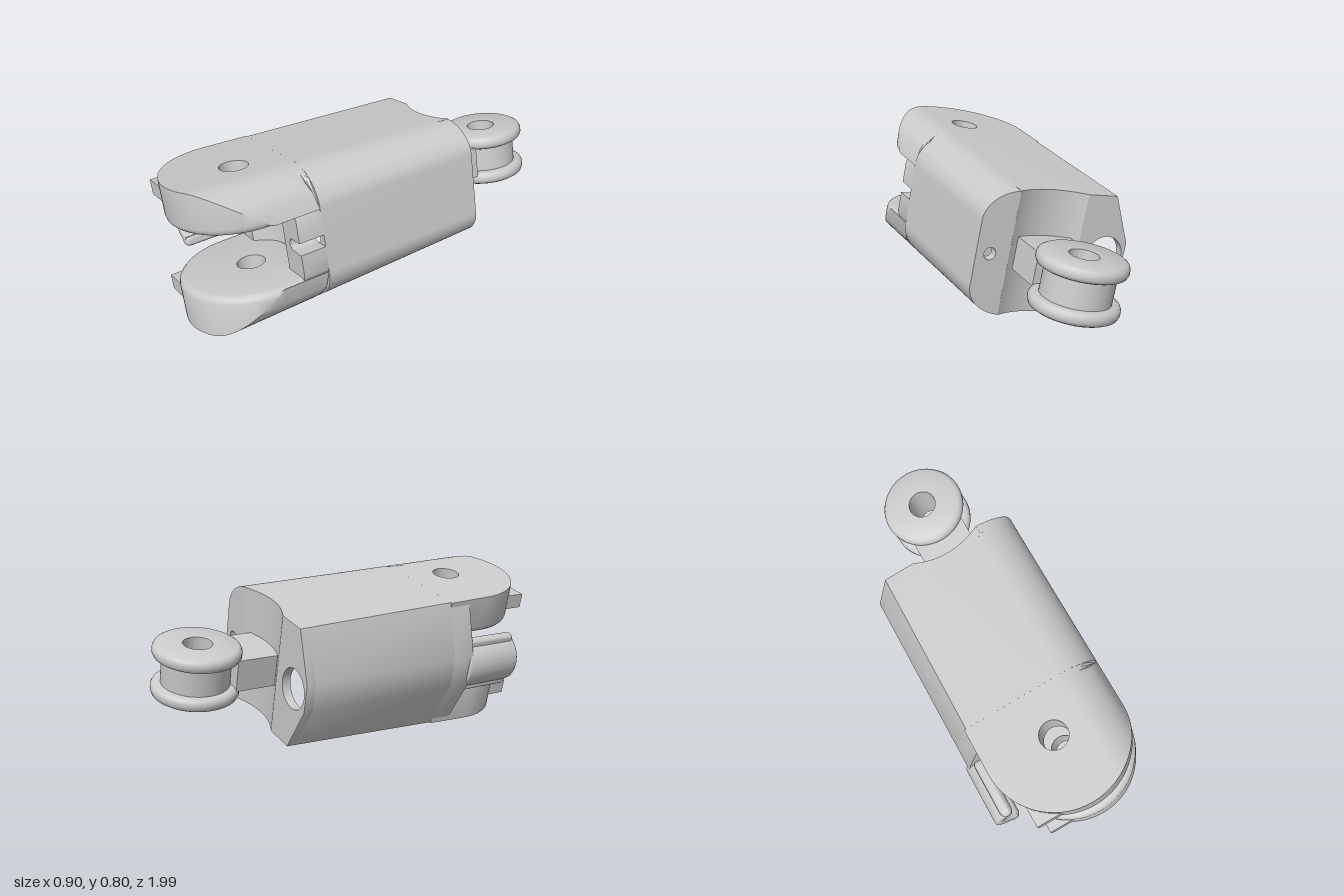
import * as THREE from 'three';
import { toCreasedNormals } from 'three/addons/utils/BufferGeometryUtils.js';

const H = 0.355;        // half height at the front
const W = 0.35;         // half width
const CR = 0.195;       // rounded corner radius
const INNER = 0.153;    // half gap between the prongs
const PIN_Z = 0.645, LUG_Z = -0.79;
const FRONT_Z = 0.411, BACK_Z = -0.41;
const CHANNEL_X = -0.335, CORD_X = 0.28;

const material = new THREE.MeshStandardMaterial({ color: 0xcccccc });

// Outer faces come closer together towards the back
function taper(y, z) {
  const k = THREE.MathUtils.clamp((Math.abs(y) - 0.15) / (H - 0.15), 0, 1);
  return y - Math.sign(y) * 0.04 * (0.8 - z) * k;
}

function taperGeometry(geometry) {
  const p = geometry.attributes.position;
  for (let i = 0; i < p.count; i++) p.setY(i, taper(p.getY(i), p.getZ(i)));
  return geometry;
}

function addMesh(group, name, geometry, crease = 0.6) {
  const mesh = new THREE.Mesh(toCreasedNormals(geometry, crease), material);
  mesh.name = name;
  group.add(mesh);
  return mesh;
}

function polygon(points) {
  return new THREE.Shape(points.map(([x, y]) => new THREE.Vector2(x, y)));
}

function circle(x, y, r) {
  return new THREE.Path().absarc(x, y, r, 0, Math.PI * 2, true);
}

// Section in x,y pushed along z
function alongZ(shape, z0, z1) {
  const g = new THREE.ExtrudeGeometry(shape, { depth: z1 - z0, bevelEnabled: false, curveSegments: 24 });
  return taperGeometry(g.translate(0, 0, z0));
}

// Plan in x,z pushed along y, centred on y = 0
function alongY(points, half) {
  const g = new THREE.ExtrudeGeometry(polygon(points.map(([x, z]) => [x, -z])), { depth: 2 * half, bevelEnabled: false });
  return taperGeometry(g.rotateX(-Math.PI / 2).translate(0, -half, 0));
}

// Filler block with one end hollowed by a cylinder standing at centreZ
function scoop(half, r, centreZ, flatZ, dir, height) {
  const points = [[-half, flatZ], [half, flatZ]];
  for (let i = 0; i <= 24; i++) {
    const x = half * (1 - i / 12);
    points.push([x, centreZ + dir * Math.sqrt(r * r - x * x)]);
  }
  return alongY(points, height);
}

// Rounded corner on the right side of the section
function corner(shape, sign) {
  const cx = W - CR, cy = sign * (H - CR);
  if (sign > 0) shape.absarc(cx, cy, CR, Math.PI / 2, 0, true);
  else shape.absarc(cx, cy, CR, 0, -Math.PI / 2, true);
}

// Fork prong: rings around the pin hole, round in front and square behind
function prongGeometry(sign) {
  const n = 64, steps = 14, hole = 0.07, back = W * Math.tan(Math.PI * 33.75 / 180);
  const pos = [], index = [];
  let m = 0;
  for (let i = 0; i < n; i++) {
    const a = (i / n) * Math.PI * 2, c = Math.cos(a), s = Math.sin(a);
    const R = s >= -1e-9 ? W : Math.min(W / Math.max(Math.abs(c), 1e-6), back / -s);
    const outer = (r) => {
      const x = r * c, d = Math.min(Math.max(x - (W - CR), 0), CR);
      return taper(H - CR + Math.sqrt(CR * CR - d * d), PIN_Z + r * s);
    };
    const loop = [[hole, INNER], [R - 0.035, INNER]];
    for (const t of [0.33, 0.67, 1]) {
      const b = t * Math.PI / 2;
      const r = R - 0.035 + 0.035 * Math.sin(b);
      loop.push([r, Math.min(INNER + 0.035 * (1 - Math.cos(b)), outer(r))]);
    }
    for (let j = 0; j <= steps; j++) {
      const r = R + (hole - R) * j / steps;
      loop.push([r, outer(r)]);
    }
    m = loop.length;
    for (const [r, y] of loop) pos.push(r * c, sign * y, PIN_Z + r * s);
  }
  for (let i = 0; i < n; i++) for (let j = 0; j < m; j++) {
    const a = i * m + j, b = i * m + (j + 1) % m;
    const d = ((i + 1) % n) * m + j, e = ((i + 1) % n) * m + (j + 1) % m;
    if (sign > 0) index.push(a, b, d, b, e, d);
    else index.push(a, d, b, b, d, e);
  }
  const g = new THREE.BufferGeometry();
  g.setAttribute('position', new THREE.Float32BufferAttribute(pos, 3));
  g.setIndex(index);
  return g;
}

export function createModel() {
  const model = new THREE.Group();
  model.name = 'fingerSegment';
  const body = new THREE.Group();
  body.name = 'segment';
  body.rotation.set(0, -0.044, THREE.MathUtils.degToRad(12), 'ZYX');
  body.position.set(0.059, 0.419, 0);
  model.add(body);

  // Main body with a wide channel and a thin cord hole
  const section = new THREE.Shape().moveTo(-0.34, H).lineTo(W - CR, H);
  corner(section, 1);
  section.lineTo(W, -(H - CR));
  corner(section, -1);
  section.lineTo(-0.34, -H).lineTo(-0.45, -0.07).lineTo(-0.45, 0.07).closePath();
  section.holes.push(circle(CHANNEL_X, 0, 0.1), circle(CORD_X, 0, 0.03));
  addMesh(body, 'mainBody', alongZ(section, BACK_Z, FRONT_Z));

  // Back shoulders either side of the hollow
  const backLeft = new THREE.Shape().moveTo(0.18, H).lineTo(0.18, -H + 0.002);
  backLeft.absarc(W - CR, -(H - CR), CR, -1.44, 0, false);
  backLeft.lineTo(W, H - CR).absarc(W - CR, H - CR, CR, 0, 1.44, false);
  backLeft.holes.push(circle(CORD_X, 0, 0.03));
  addMesh(body, 'backShoulderLeft', alongZ(backLeft, -0.455, BACK_Z));
  const backRight = polygon([[-0.18, H], [-0.34, H], [-0.45, 0.07], [-0.45, -0.07], [-0.34, -H], [-0.18, -H]]);
  backRight.holes.push(circle(CHANNEL_X, 0, 0.1));
  addMesh(body, 'backShoulderRight', alongZ(backRight, -0.455, BACK_Z));
  addMesh(body, 'backHollow', scoop(0.18, 0.38, LUG_Z, BACK_Z + 0.01, 1, H));

  // Web at the root of the fork
  const webRight = polygon([[-0.2, 0.18], [-0.34, 0.18], [-0.34, H], [-0.45, 0.07], [-0.45, -0.07],
    [-0.34, -H], [-0.34, -0.18], [-0.2, -0.18]]);
  webRight.holes.push(circle(CHANNEL_X, 0, 0.1));
  addMesh(body, 'webRight', alongZ(webRight, FRONT_Z, 0.53));
  const webLeft = new THREE.Shape().moveTo(0.2, 0.18).lineTo(0.2, -0.18).lineTo(0.33, -0.18)
    .lineTo(W, -0.14).lineTo(W, -0.03).lineTo(CORD_X, -0.03);
  webLeft.absarc(CORD_X, 0, 0.03, -Math.PI / 2, Math.PI / 2, true);
  webLeft.lineTo(W, 0.03).lineTo(W, 0.14).lineTo(0.33, 0.18);
  addMesh(body, 'webLeft', alongZ(webLeft, FRONT_Z, 0.54));
  addMesh(body, 'forkHollow', scoop(0.2, 0.23, PIN_Z, 0.4, -1, 0.18));

  // Fork prongs with their stop tabs
  for (const sign of [1, -1]) {
    const side = sign > 0 ? 'upper' : 'lower';
    addMesh(body, side + 'Prong', prongGeometry(sign));
    const tab = addMesh(body, side + 'Tab', new THREE.BoxGeometry(0.2, 0.075, 0.125));
    tab.position.set(-0.175, sign > 0 ? 0.265 : -0.247, 0.9);
  }

  // Curved guard in front of the channel
  const a0 = Math.PI * 0.63, a1 = Math.PI * 1.37;
  const arc = new THREE.Shape();
  arc.absarc(0, 0, 0.128, a0, a1, false);
  arc.absarc(0, 0, 0.1, a1, a0, true);
  const guard = new THREE.Group();
  guard.name = 'channelGuard';
  guard.position.set(CHANNEL_X, 0, 0.52);
  body.add(guard);
  addMesh(guard, 'guardWall', new THREE.ExtrudeGeometry(arc, {
    depth: 0.295, bevelThickness: 0.01, bevelSize: 0.008, bevelSegments: 3, curveSegments: 24 }));
  for (const a of [a0, a1]) {
    const bead = addMesh(guard, 'guardBead', new THREE.CapsuleGeometry(0.031, 0.25, 6, 20).rotateX(Math.PI / 2), 1);
    bead.position.set(0.125 * Math.cos(a), 0.125 * Math.sin(a), 0.152);
  }

  // Rear arm and flanged lug
  const arm = addMesh(body, 'rearArm', new THREE.BoxGeometry(0.28, 0.16, 0.27));
  arm.position.set(0, 0, -0.525);
  const half = [[0.165, 0.066], [0.19, 0.066], [0.203, 0.073], [0.21, 0.087], [0.21, 0.106], [0.203, 0.122], [0.188, 0.131], [0.07, 0.131]];
  const profile = [...half.map(([r, y]) => [r, -y]).reverse(), ...half, [0.07, -0.131]];
  const lug = addMesh(body, 'rearLug', new THREE.LatheGeometry(profile.map(([r, y]) => new THREE.Vector2(r, y)), 64), 0.7);
  lug.position.z = LUG_Z;

  // Hub wall keeps the arm out of the lug hole
  arm.scale.z = 0.9;
  arm.position.z = -0.522;
  return model;
}
